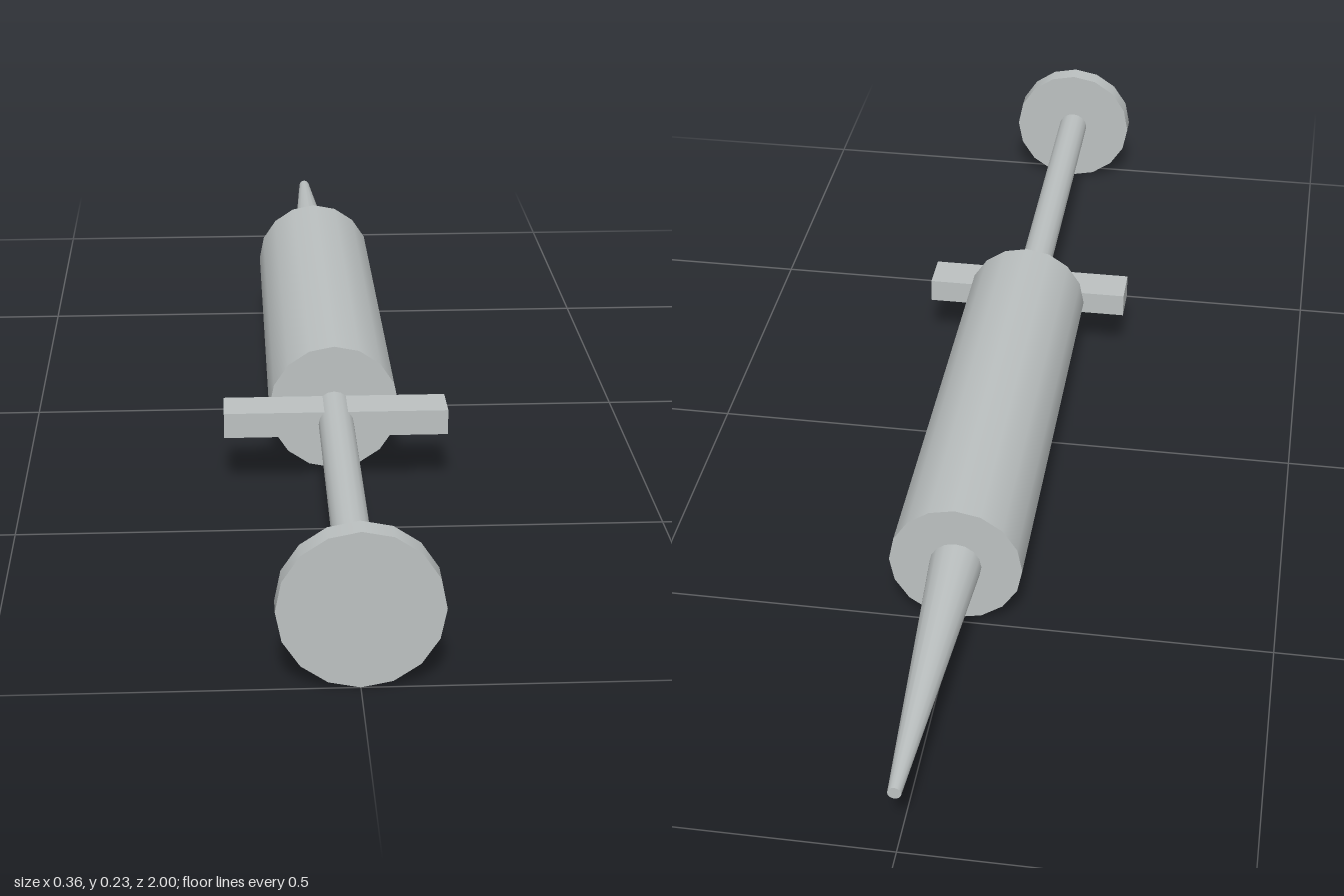
import * as THREE from 'three';

export function createModel() {
  const group = new THREE.Group();
  const grey = new THREE.MeshStandardMaterial({ color: 0xbcc1c1 });
  grey.name = 'light grey';
  const axisY = 0.115;

  function add(name, geometry, z) {
    const mesh = new THREE.Mesh(geometry, grey);
    mesh.name = name;
    mesh.position.set(0, axisY, z);
    group.add(mesh);
  }

  // Round part along z, from its back end to its front end
  function round(name, backZ, frontZ, backRadius, frontRadius) {
    const geometry = new THREE.CylinderGeometry(frontRadius, backRadius, frontZ - backZ, 16);
    geometry.rotateX(Math.PI / 2);
    add(name, geometry, (backZ + frontZ) / 2);
  }

  round('needle', -1, -0.5, 0.01, 0.041);
  round('barrel', -0.5, 0.285, 0.105, 0.105);
  round('plungerRod', 0.285, 0.965, 0.028, 0.028);
  round('thumbDisc', 0.965, 1, 0.114, 0.114);

  // Finger grip across the open end of the barrel
  add('fingerGrip', new THREE.BoxGeometry(0.356, 0.041, 0.07), 0.32);

  return group;
}
